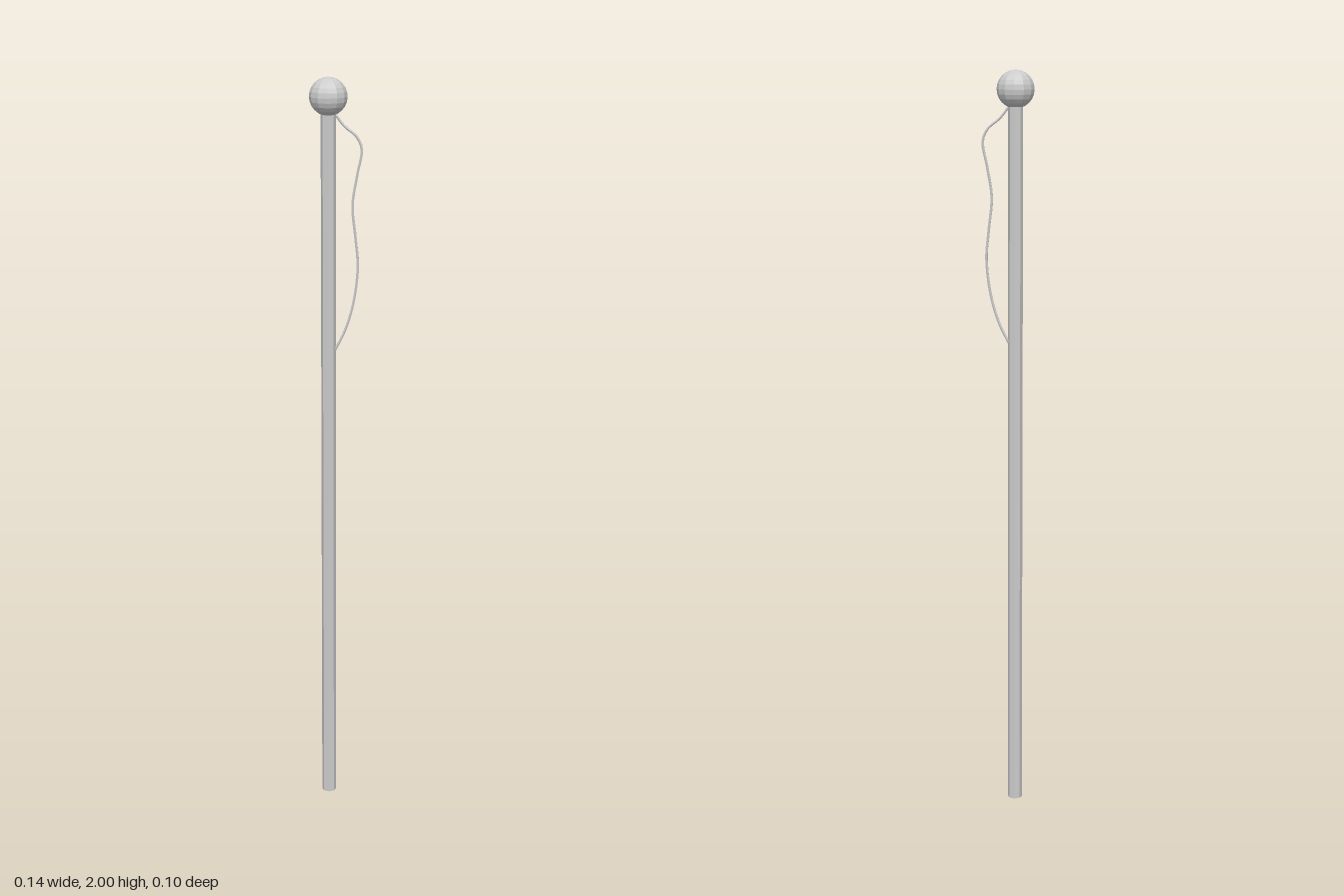
import * as THREE from 'three';

const X = -0.021; // pole axis

export function createModel() {
  const group = new THREE.Group();
  const material = new THREE.MeshStandardMaterial({ color: 0xcccccc, flatShading: true });
  const add = (name, geometry, x = 0, y = 0) => {
    const mesh = new THREE.Mesh(geometry, material);
    mesh.name = name;
    mesh.position.set(x, y, 0);
    group.add(mesh);
  };

  // Pole standing on the ground, running up into the ball
  const height = 1.92;
  add('pole', new THREE.CylinderGeometry(0.0195, 0.0195, height, 8), X, height / 2);

  // Faceted ball on top
  add('ballFinial', new THREE.SphereGeometry(0.049, 12, 12), X, 1.951);

  // Slack cord hanging beside the pole
  const path = new THREE.CatmullRomCurve3([
    [-0.008, 1.913], [0.02, 1.877], [0.05, 1.852], [0.064, 1.82], [0.053, 1.755],
    [0.041, 1.675], [0.049, 1.59], [0.055, 1.515], [0.044, 1.42], [0.022, 1.345], [-0.006, 1.288],
  ].map(([x, y]) => new THREE.Vector3(x, y, 0)));
  add('cord', new THREE.TubeGeometry(path, 48, 0.0037, 6, false));

  // Caps closing the cord ends
  for (const t of [0, 1]) {
    const p = path.getPointAt(t);
    add('cordEnd', new THREE.SphereGeometry(0.0037, 6, 4), p.x, p.y);
  }
  return group;
}
